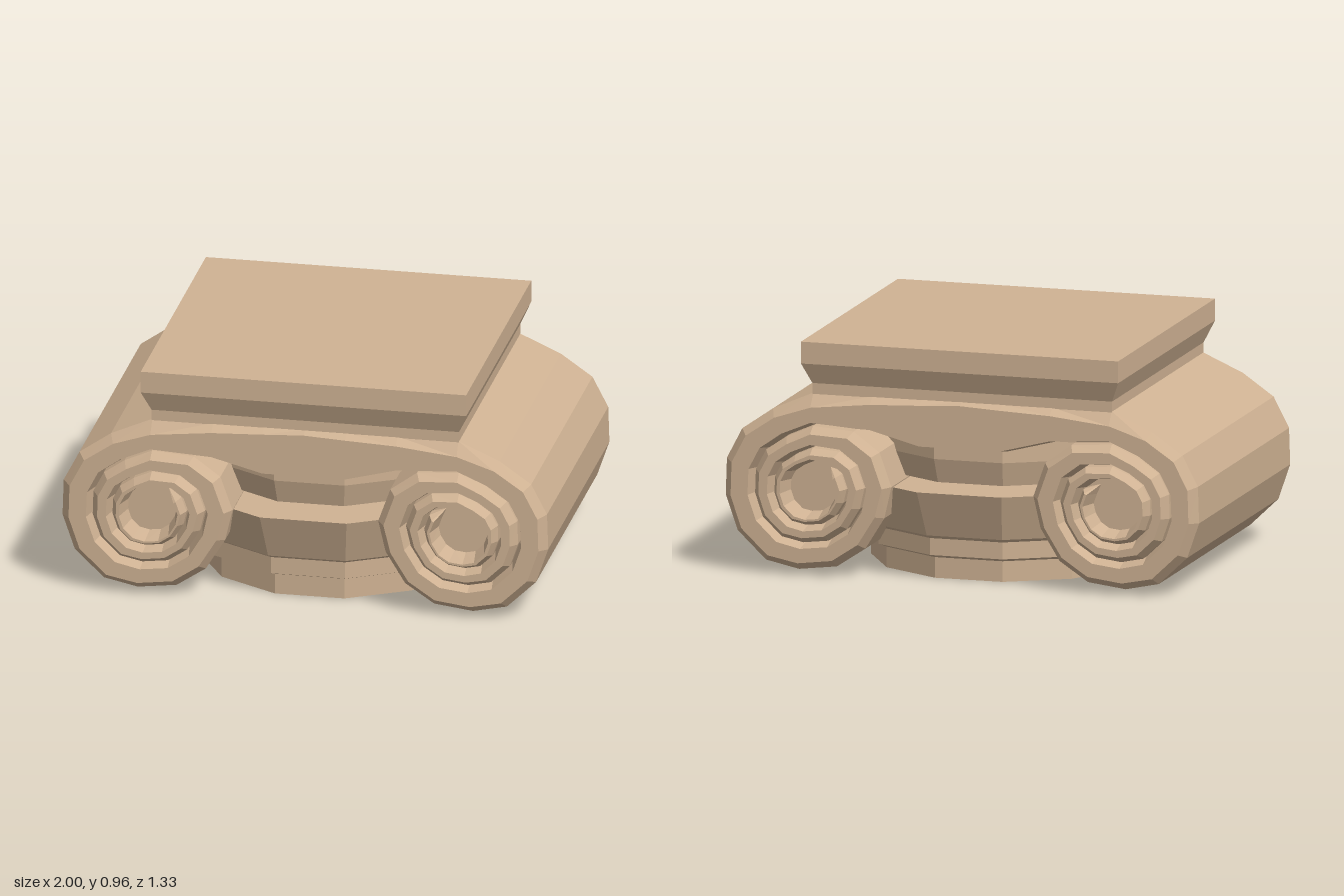
import * as THREE from 'three';

const stone = new THREE.MeshStandardMaterial({ color: 0xcfb293, flatShading: true });
stone.name = 'tan stone';

const FLOOR = 0.57, EDGE = 0.62, FACE = 0.66;

// First turn of the scroll outline, clockwise from the top; later turns shrink toward the eye
const turn = [
  [0.63, 0.75], [0.8, 0.675], [0.93, 0.585], [0.995, 0.46], [1, 0.31], [0.95, 0.165], [0.83, 0.05],
  [0.69, 0.02], [0.53, 0.04], [0.41, 0.12], [0.33, 0.25], [0.3, 0.38], [0.35, 0.52], [0.46, 0.6],
];
const eye = [0.635, 0.345];
const N = turn.length;
// Lower edge of the band that joins the two scrolls
const underside = [[0, 0.545], [0.17, 0.545], [0.38, 0.6]];

function outer(k) {
  const s = Math.pow(0.66, Math.floor(k / N));
  return turn[k % N].map((v, i) => eye[i] + (v - eye[i]) * s);
}

function toward(p, d) {
  const dx = eye[0] - p[0], dy = eye[1] - p[1], l = Math.hypot(dx, dy);
  const t = Math.min(d, l * 0.3) / l;
  return [p[0] + dx * t, p[1] + dy * t];
}

// Cross-sections of the raised band: wall, bevel, face, inner wall
function reliefSections() {
  const rows = underside.map(([x, y], i) => [
    [x, 0.75, FLOOR], [x, 0.75, EDGE], [x, 0.74 - i * 0.009, FACE], [x, y + 0.018, FACE], [x, y, FLOOR],
  ]);
  const last = 2 * N + 12;
  for (let k = 0; k <= last; k++) {
    const o = outer(k), b = outer(k + N);
    const bevel = toward(o, k === 0 ? 0.055 : 0.035 * Math.pow(0.8, k / N));
    const inner = toward(b, -0.02);
    rows.push([[...o, FLOOR], [...o, EDGE], [...bevel, FACE], [...inner, FACE], [...b, FLOOR]]);
  }
  // Taper the tail into the eye
  const o = outer(last + 1), b = outer(last + 1 + N);
  rows.push(Array(5).fill([(o[0] + b[0]) / 2, (o[1] + b[1]) / 2, FLOOR]));
  return rows;
}

function reliefGeometry(sx, sz) {
  const rows = reliefSections(), pos = [], idx = [];
  rows.forEach(r => r.forEach(p => pos.push(p[0] * sx, p[1], p[2] * sz)));
  for (let i = 0; i < rows.length - 1; i++) {
    for (let j = 0; j < 4; j++) {
      const a = i * 5 + j, b = a + 1, c = a + 6, d = a + 5;
      if (sx * sz > 0) idx.push(a, b, c, a, c, d);
      else idx.push(a, c, b, a, d, c);
    }
  }
  const g = new THREE.BufferGeometry();
  g.setAttribute('position', new THREE.Float32BufferAttribute(pos, 3));
  // Make sure the broad face points outward
  const [p, q, r] = [idx[12], idx[13], idx[14]].map(n => new THREE.Vector3().fromArray(pos, n * 3));
  if (q.sub(p).cross(r.sub(p)).z * sz < 0) idx.reverse();
  g.setIndex(idx);
  g.computeVertexNormals();
  return g;
}

// Faceted turned solid from a [radius, height] profile
function turned(profile, sides) {
  return new THREE.LatheGeometry(profile.map(p => new THREE.Vector2(...p)), sides, Math.PI / sides);
}

export function createModel() {
  const model = new THREE.Group();
  model.name = 'columnCapital';
  const add = (name, geometry) => {
    const mesh = new THREE.Mesh(geometry, stone);
    mesh.name = name;
    model.add(mesh);
    return mesh;
  };

  // Square slab on top
  const q = Math.SQRT2;
  add('topSlab', turned([
    [0, 0.74], [0.633 * q, 0.74], [0.633 * q, 0.79], [0.67 * q, 0.875], [0.67 * q, 0.965], [0, 0.965],
  ], 4)).scale.z = 0.985;

  // Two rolls and the bridge between them
  const right = [...turn, ...underside.slice(1).reverse()];
  const left = right.map(([x, y]) => [-x, y]).reverse();
  const shape = new THREE.Shape([...right, ...left].map(p => new THREE.Vector2(...p)));
  const rolls = new THREE.ExtrudeGeometry(shape, { depth: FLOOR * 2, bevelEnabled: false });
  add('scrollRolls', rolls.translate(0, 0, -FLOOR));

  // Raised spiral bands on both ends
  for (const sz of [1, -1]) {
    for (const sx of [1, -1]) {
      add(`${sz > 0 ? 'front' : 'back'}${sx > 0 ? 'Left' : 'Right'}Spiral`, reliefGeometry(sx, sz));
    }
  }

  // Twelve-sided drum under the rolls
  add('drum', turned([
    [0, 0], [0.553, 0], [0.553, 0.085], [0.59, 0.1], [0.59, 0.17], [0.615, 0.185], [0.69, 0.375], [0, 0.375],
  ], 12));
  add('collar', turned([[0, 0.39], [0.53, 0.39], [0.56, 0.49], [0.56, 0.6], [0, 0.6]], 12));
  return model;
}
